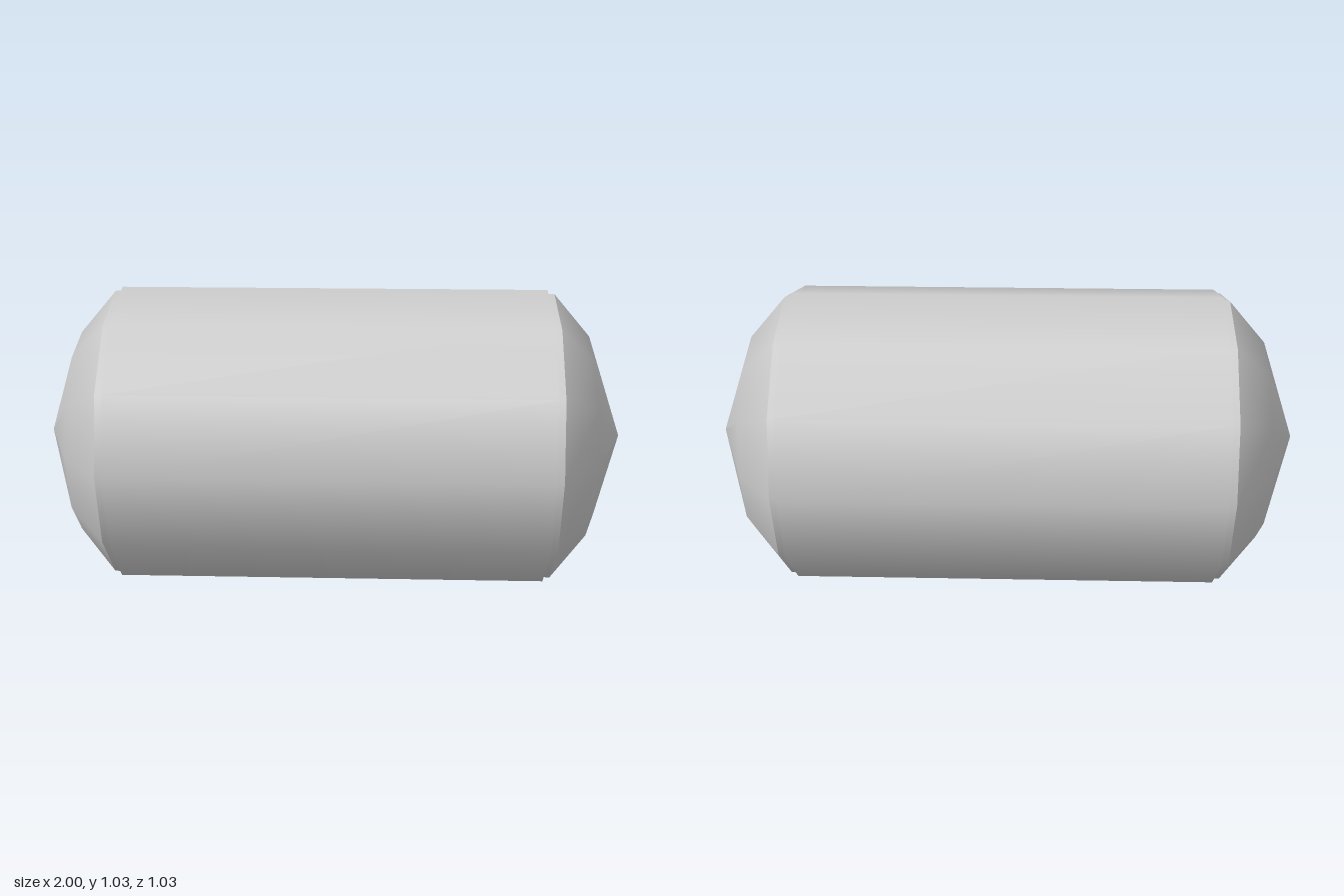
import * as THREE from 'three';

const SIDES = 12;
const R = 0.517, NECK_R = 0.503;
const BODY_X = 0.728, NECK_X = 0.752;

export function createModel() {
  const model = new THREE.Group();
  const material = new THREE.MeshStandardMaterial({ color: 0xcccccc });

  // Revolves a [radius, distance along x] profile about the x axis
  function revolve(name, profile) {
    const points = profile.map(([r, x]) => new THREE.Vector2(r, x));
    const geometry = new THREE.LatheGeometry(points, SIDES).rotateZ(-Math.PI / 2);
    const mesh = new THREE.Mesh(geometry, material);
    mesh.name = name;
    return mesh;
  }

  // Main drum
  const body = revolve('body', [[R, -BODY_X], [R, BODY_X]]);
  body.position.y = R;
  model.add(body);

  // Matching ends: rim, short neck and domed cap
  for (const side of ['left', 'right']) {
    const end = new THREE.Group();
    end.name = side + 'End';
    end.add(
      revolve('rim', [[R, BODY_X], [NECK_R, BODY_X]]),
      revolve('neck', [[NECK_R, BODY_X], [NECK_R, NECK_X]]),
      revolve('domeCap', [[NECK_R, NECK_X], [0.356, 0.878], [0, 1]])
    );
    end.position.y = R;
    if (side === 'right') end.rotation.y = Math.PI;
    model.add(end);
  }
  return model;
}
